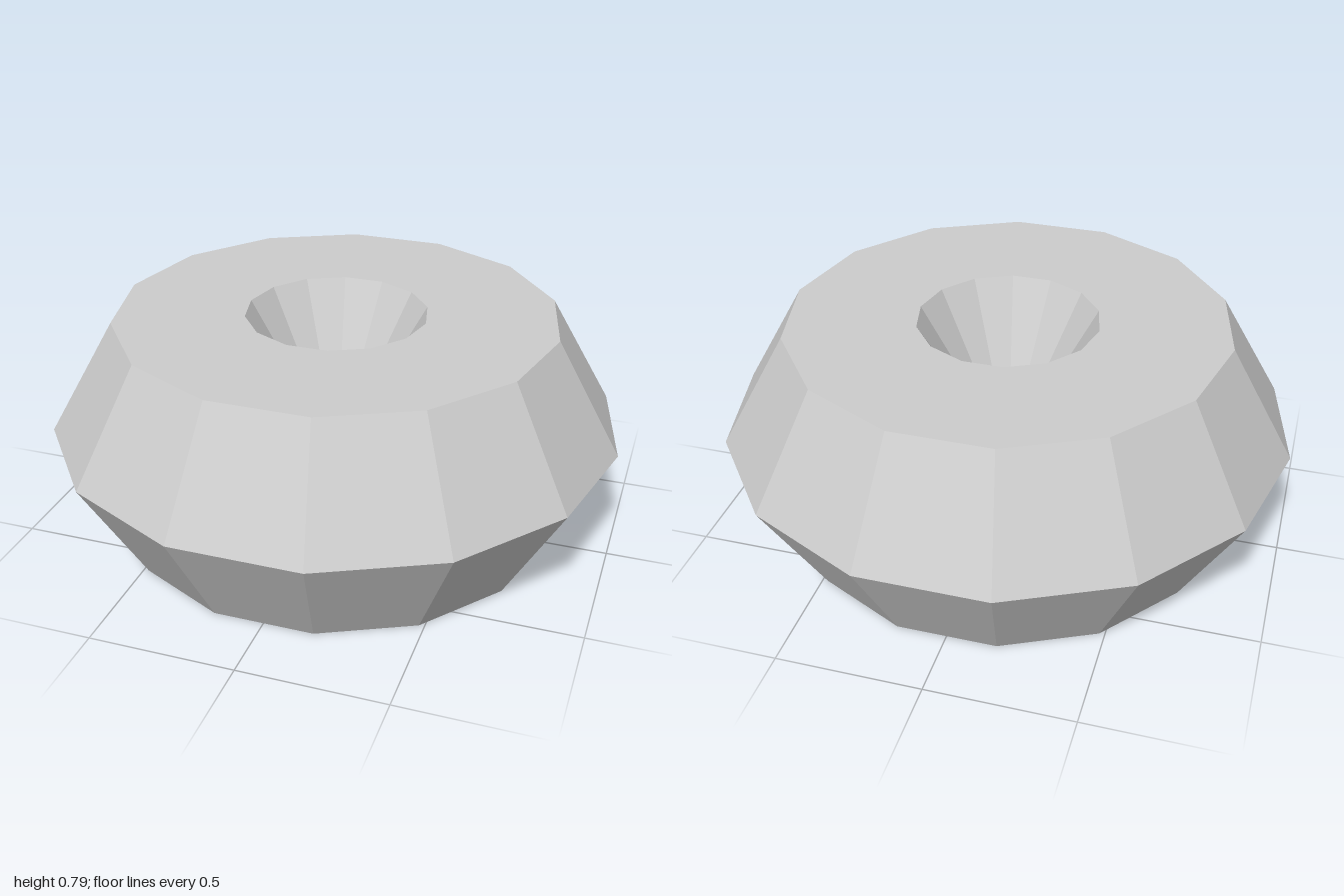
import * as THREE from 'three';

export function createModel() {
  const group = new THREE.Group();
  const ringRadius = 0.545, tubeRadius = 0.455;

  // Faceted ring: hexagonal cross-section swept around 14 sides, lying flat
  const geometry = new THREE.TorusGeometry(ringRadius, tubeRadius, 6, 14);
  geometry.rotateX(-Math.PI / 2);
  geometry.translate(0, tubeRadius * Math.sin(Math.PI / 3), 0);

  const ring = new THREE.Mesh(
    geometry,
    new THREE.MeshStandardMaterial({ color: 0xcccccc, flatShading: true })
  );
  ring.name = 'ring';
  group.add(ring);
  return group;
}
